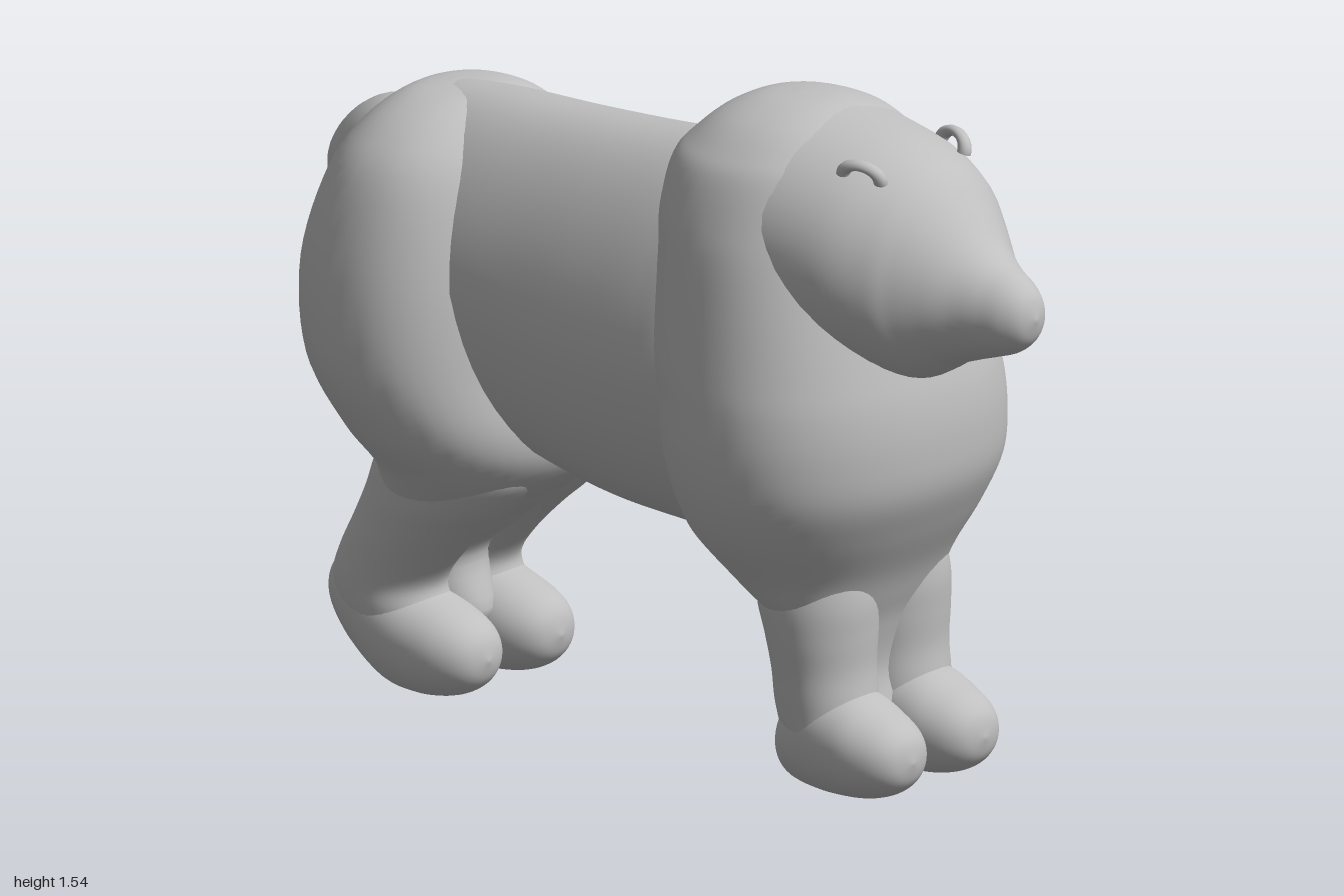
import * as THREE from 'three';
import { mergeVertices } from 'three/addons/utils/BufferGeometryUtils.js';

// Smooth value between b and c
function spline(a, b, c, d, t) {
  const m = (c - a) / 2, n = (d - b) / 2;
  return (2 * b - 2 * c + m + n) * t ** 3 + (-3 * b + 3 * c - 2 * m - n) * t ** 2 + m * t + b;
}

// Skin over oval sections along y or z. Row: [position, far edge, near edge, half width];
// power squares the oval, taper narrows its high side.
function loft(axis, rows, power = 2, taper = 0, seg = 48, steps = 6) {
  const row = (i) => rows[Math.min(Math.max(i, 0), rows.length - 1)];
  const bend = (v) => Math.sign(v) * Math.abs(v) ** (2 / power);
  const pos = [], index = [];
  const count = (rows.length - 1) * steps;
  for (let i = 0; i <= count; i++) {
    const k = Math.min(Math.floor(i / steps), rows.length - 2), f = i / steps - k;
    const [t, hi, lo, hw] = [0, 1, 2, 3].map((n) =>
      spline(row(k - 1)[n], row(k)[n], row(k + 1)[n], row(k + 2)[n], f));
    for (let j = 0; j < seg; j++) {
      const a = (j / seg) * Math.PI * 2, s = bend(Math.sin(a));
      const x = hw * bend(Math.cos(a)) * (1 - taper * Math.max(0, s));
      const p = (hi + lo) / 2 + ((hi - lo) / 2) * s;
      if (axis === 'y') pos.push(x, t, p); else pos.push(x, p, t);
    }
  }
  const flip = (axis === 'y') !== (rows[rows.length - 1][0] < rows[0][0]);
  for (let i = 0; i < count; i++) {
    for (let j = 0; j < seg; j++) {
      const a = i * seg + j, b = i * seg + (j + 1) % seg, c = b + seg, d = a + seg;
      if (flip) index.push(a, c, b, a, d, c); else index.push(a, b, c, a, c, d);
    }
  }
  let geo = new THREE.BufferGeometry();
  geo.setAttribute('position', new THREE.Float32BufferAttribute(pos, 3));
  geo.setIndex(index);
  geo = mergeVertices(geo, 1e-5);
  geo.computeVertexNormals();
  return geo;
}

export function createModel() {
  const model = new THREE.Group();
  model.name = 'bear';
  const grey = new THREE.MeshStandardMaterial({ color: 0xbfbfbf });
  grey.name = 'clay grey';
  const add = (name, geo) => {
    const mesh = new THREE.Mesh(geo, grey);
    mesh.name = name;
    model.add(mesh);
    return mesh;
  };

  // Barrel with a narrower back
  add('torso', loft('z', [
    [-0.85, 1.25, 0.85, 0.15], [-0.72, 1.355, 0.75, 0.24], [-0.55, 1.38, 0.64, 0.28],
    [-0.3, 1.383, 0.565, 0.302], [-0.1, 1.388, 0.525, 0.325], [0.1, 1.398, 0.51, 0.345],
    [0.22, 1.4, 0.508, 0.345], [0.36, 1.36, 0.56, 0.3],
  ], 2.1, 0.23));

  // Chest, shoulders and neck hump, ending in a web between the front legs
  add('chest', loft('y', [
    [1.541, 0.33, 0.33, 0], [1.532, 0.42, 0.24, 0.09], [1.5, 0.5, 0.165, 0.18],
    [1.45, 0.55, 0.105, 0.25], [1.4, 0.58, 0.065, 0.295], [1.3, 0.61, 0.05, 0.34],
    [1.2, 0.64, 0.06, 0.37], [1.0, 0.71, 0.06, 0.413], [0.9, 0.737, 0.085, 0.43],
    [0.8, 0.745, 0.1, 0.437], [0.7, 0.735, 0.125, 0.425], [0.6, 0.69, 0.17, 0.385],
    [0.5, 0.635, 0.255, 0.31], [0.43, 0.605, 0.335, 0.262], [0.36, 0.58, 0.39, 0.2],
    [0.25, 0.56, 0.42, 0.12], [0.13, 0.58, 0.45, 0.08], [0.1, 0.515, 0.515, 0],
  ], 2.15));

  // Head running into the snout
  add('head', loft('z', [
    [0.15, 1.42, 1.1, 0.18], [0.25, 1.5, 1.02, 0.26], [0.35, 1.537, 0.98, 0.305],
    [0.45, 1.523, 0.96, 0.312], [0.6, 1.49, 0.952, 0.29], [0.7, 1.45, 0.955, 0.245],
    [0.75, 1.413, 0.975, 0.206], [0.8, 1.355, 1.005, 0.165], [0.85, 1.295, 1.024, 0.126],
    [0.9, 1.253, 1.04, 0.1], [0.95, 1.225, 1.058, 0.077], [0.985, 1.19, 1.09, 0.046],
    [1.0, 1.14, 1.14, 0],
  ]));

  // Haunches, ending in a web between the hind legs
  add('rump', loft('y', [
    [1.373, -0.66, -0.66, 0], [1.36, -0.55, -0.745, 0.13], [1.3, -0.48, -0.82, 0.25],
    [1.2, -0.42, -0.885, 0.335], [1.0, -0.36, -0.938, 0.405], [0.8, -0.32, -0.912, 0.425],
    [0.65, -0.285, -0.83, 0.38], [0.55, -0.31, -0.765, 0.31], [0.46, -0.41, -0.775, 0.25],
    [0.38, -0.51, -0.785, 0.19], [0.29, -0.6, -0.81, 0.12], [0.15, -0.57, -0.79, 0.08],
    [0.11, -0.68, -0.68, 0],
  ], 2.15));

  // Legs
  const frontLeg = loft('y', [
    [0.62, 0.55, 0.4, 0.08], [0.52, 0.595, 0.345, 0.12], [0.44, 0.61, 0.345, 0.138],
    [0.36, 0.608, 0.37, 0.136], [0.28, 0.605, 0.387, 0.127], [0.2, 0.615, 0.395, 0.122],
    [0.12, 0.62, 0.42, 0.11], [0.06, 0.58, 0.46, 0.06],
  ]);
  const hindLeg = loft('y', [
    [0.65, -0.4, -0.7, 0.1], [0.55, -0.345, -0.75, 0.14], [0.47, -0.395, -0.778, 0.142],
    [0.4, -0.475, -0.81, 0.133], [0.32, -0.557, -0.85, 0.125], [0.25, -0.605, -0.873, 0.122],
    [0.19, -0.59, -0.865, 0.12], [0.12, -0.59, -0.815, 0.105], [0.06, -0.62, -0.74, 0.06],
  ]);

  // Rounded feet
  const frontFoot = loft('z', [
    [0.402, 0.11, 0.11, 0], [0.412, 0.16, 0.06, 0.06], [0.45, 0.22, 0.018, 0.108],
    [0.52, 0.25, 0.001, 0.122], [0.6, 0.235, 0, 0.123], [0.66, 0.207, 0.007, 0.113],
    [0.71, 0.18, 0.025, 0.09], [0.74, 0.147, 0.055, 0.055], [0.752, 0.1, 0.1, 0],
  ], 2.1);
  const hindFoot = loft('z', [
    [-0.88, 0.22, 0.22, 0], [-0.87, 0.265, 0.178, 0.05], [-0.84, 0.3, 0.132, 0.09],
    [-0.78, 0.3, 0.068, 0.115], [-0.7, 0.27, 0.012, 0.124], [-0.62, 0.232, 0, 0.123],
    [-0.55, 0.205, 0.007, 0.113], [-0.5, 0.18, 0.025, 0.09], [-0.47, 0.147, 0.055, 0.055],
    [-0.457, 0.1, 0.1, 0],
  ], 2.1);

  // Thin curled ear ridge
  const ear = new THREE.TorusGeometry(0.045, 0.016, 12, 24, Math.PI);
  ear.rotateY(Math.PI / 2);
  ear.scale(1, 0.72, 1);
  ear.rotateX(0.15);

  for (const [side, s] of [['left', 1], ['right', -1]]) {
    const limbs = { FrontLeg: frontLeg, FrontFoot: frontFoot, HindLeg: hindLeg, HindFoot: hindFoot };
    for (const [name, geo] of Object.entries(limbs)) add(side + name, geo).position.x = s * 0.125;
    const e = add(side + 'Ear', ear);
    e.position.set(s * 0.157, 1.434, 0.63);
    e.rotation.set(0, s * -0.25, s * -0.3);
  }

  // Stubby tail
  const tail = add('tail', new THREE.SphereGeometry(1, 32, 24));
  tail.scale.set(0.1, 0.155, 0.1);
  tail.position.set(0, 1.18, -0.869);
  tail.rotation.x = 0.8;

  return model;
}
